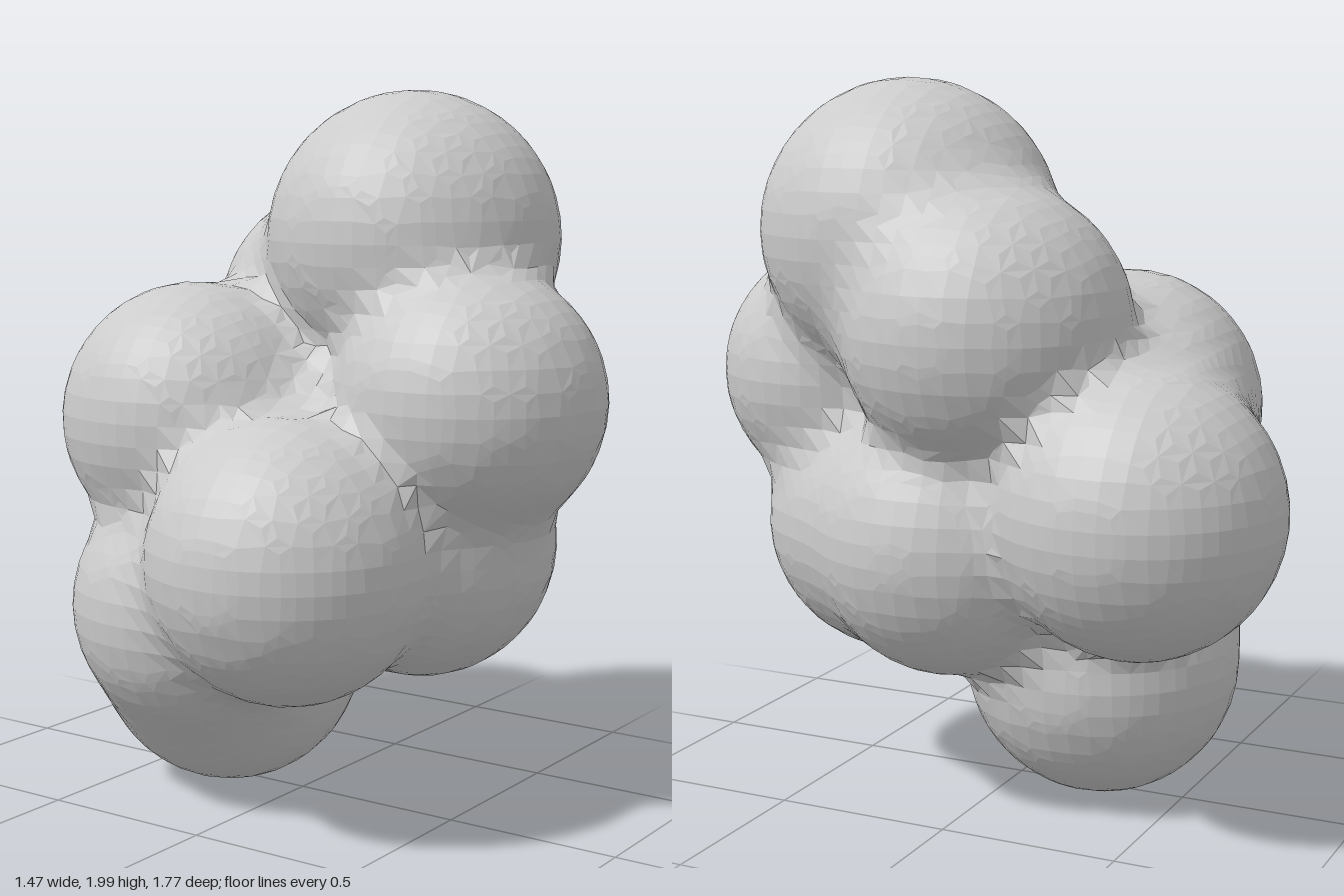
import * as THREE from 'three';

// Lobes of the cluster: x, y, z, radius
const LOBES = [
  [0.20, 1.59, 0.24, 0.41],   // top
  [0.04, 1.17, 0.52, 0.37],   // front
  [0.34, 1.35, -0.06, 0.39],  // upper side
  [0.35, 0.90, -0.50, 0.385], // back
  [0.10, 1.00, -0.38, 0.34],  // bridge between the two back lobes
  [-0.15, 1.09, -0.26, 0.38], // back, other side
  [-0.35, 0.76, 0.20, 0.385], // lower side
  [0.10, 0.76, 0.33, 0.38],   // lower front
  [0.28, 0.77, 0.07, 0.385],  // lower middle
  [-0.20, 0.57, -0.19, 0.38], // lower back
  [-0.01, 0.39, -0.25, 0.385], // foot
  [0.03, 0.95, 0.05, 0.35],   // core
];
const BLEND = 0.09;
const CELL = 0.06;

// Signed distance to the softly blended lobes
function distance(x, y, z) {
  let d = Infinity;
  for (const [cx, cy, cz, r] of LOBES) {
    const s = Math.hypot(x - cx, y - cy, z - cz) - r;
    if (d === Infinity) { d = s; continue; }
    const h = Math.max(BLEND - Math.abs(d - s), 0) / BLEND;
    d = Math.min(d, s) - h * h * BLEND * 0.25;
  }
  return d;
}

// Pull a point onto the blended surface
function settle(p) {
  const e = 0.002;
  for (let n = 0; n < 3; n++) {
    const d = distance(p.x, p.y, p.z);
    const g = new THREE.Vector3(
      distance(p.x + e, p.y, p.z) - distance(p.x - e, p.y, p.z),
      distance(p.x, p.y + e, p.z) - distance(p.x, p.y - e, p.z),
      distance(p.x, p.y, p.z + e) - distance(p.x, p.y, p.z - e));
    if (g.length() < e * 0.4) break;
    p.addScaledVector(g.normalize(), -d * 0.8);
  }
  return p;
}

// Skin the blended lobes with quads on a regular grid
function skinGeometry() {
  const min = [-0.9, -0.12, -1.05];
  const size = [31, 38, 36];
  const step = [1, size[0], size[0] * size[1]];
  const field = new Float32Array(size[0] * size[1] * size[2]);
  const at = (i, j, k) => i + j * step[1] + k * step[2];
  const eachCell = (fn) => {
    for (let k = 1; k < size[2] - 1; k++)
      for (let j = 1; j < size[1] - 1; j++)
        for (let i = 1; i < size[0] - 1; i++) fn(i, j, k, at(i, j, k));
  };
  for (let k = 0; k < size[2]; k++)
    for (let j = 0; j < size[1]; j++)
      for (let i = 0; i < size[0]; i++)
        field[at(i, j, k)] = distance(min[0] + i * CELL, min[1] + j * CELL, min[2] + k * CELL);

  // One vertex in each cell the surface passes through
  const vertexOf = new Map();
  const positions = [];
  eachCell((i, j, k, c) => {
    const sum = new THREE.Vector3();
    let hits = 0;
    for (let a = 0; a < 3; a++) {
      const b = (a + 1) % 3, d = (a + 2) % 3;
      for (let n = 0; n < 4; n++) {
        const o = [0, 0, 0];
        o[b] = n & 1;
        o[d] = n >> 1;
        const s = c + at(...o);
        const f0 = field[s], f1 = field[s + step[a]];
        if ((f0 < 0) === (f1 < 0)) continue;
        o[a] = f0 / (f0 - f1);
        sum.add(new THREE.Vector3(...o));
        hits++;
      }
    }
    if (!hits) return;
    sum.divideScalar(hits).add(new THREE.Vector3(i, j, k)).multiplyScalar(CELL);
    sum.add(new THREE.Vector3(...min));
    vertexOf.set(c, positions.length / 3);
    positions.push(...settle(sum).toArray());
  });

  // One quad around each grid edge the surface crosses
  const index = [];
  eachCell((i, j, k, c) => {
    for (let a = 0; a < 3; a++) {
      const inside = field[c] < 0;
      if (inside === (field[c + step[a]] < 0)) continue;
      const b = step[(a + 1) % 3], d = step[(a + 2) % 3];
      const q = [c - b - d, c - d, c, c - b].map((v) => vertexOf.get(v));
      if (!inside) q.reverse();
      index.push(q[0], q[1], q[2], q[0], q[2], q[3]);
    }
  });

  const geometry = new THREE.BufferGeometry();
  geometry.setAttribute('position', new THREE.Float32BufferAttribute(positions, 3));
  geometry.setIndex(index);
  geometry.computeVertexNormals();
  return geometry;
}

export function createModel() {
  const group = new THREE.Group();
  group.name = 'lobedCluster';
  const material = new THREE.MeshStandardMaterial({ color: 0xcccccc, flatShading: true });
  const skin = new THREE.Mesh(skinGeometry(), material);
  skin.name = 'blendedLobes';
  group.add(skin);
  return group;
}
